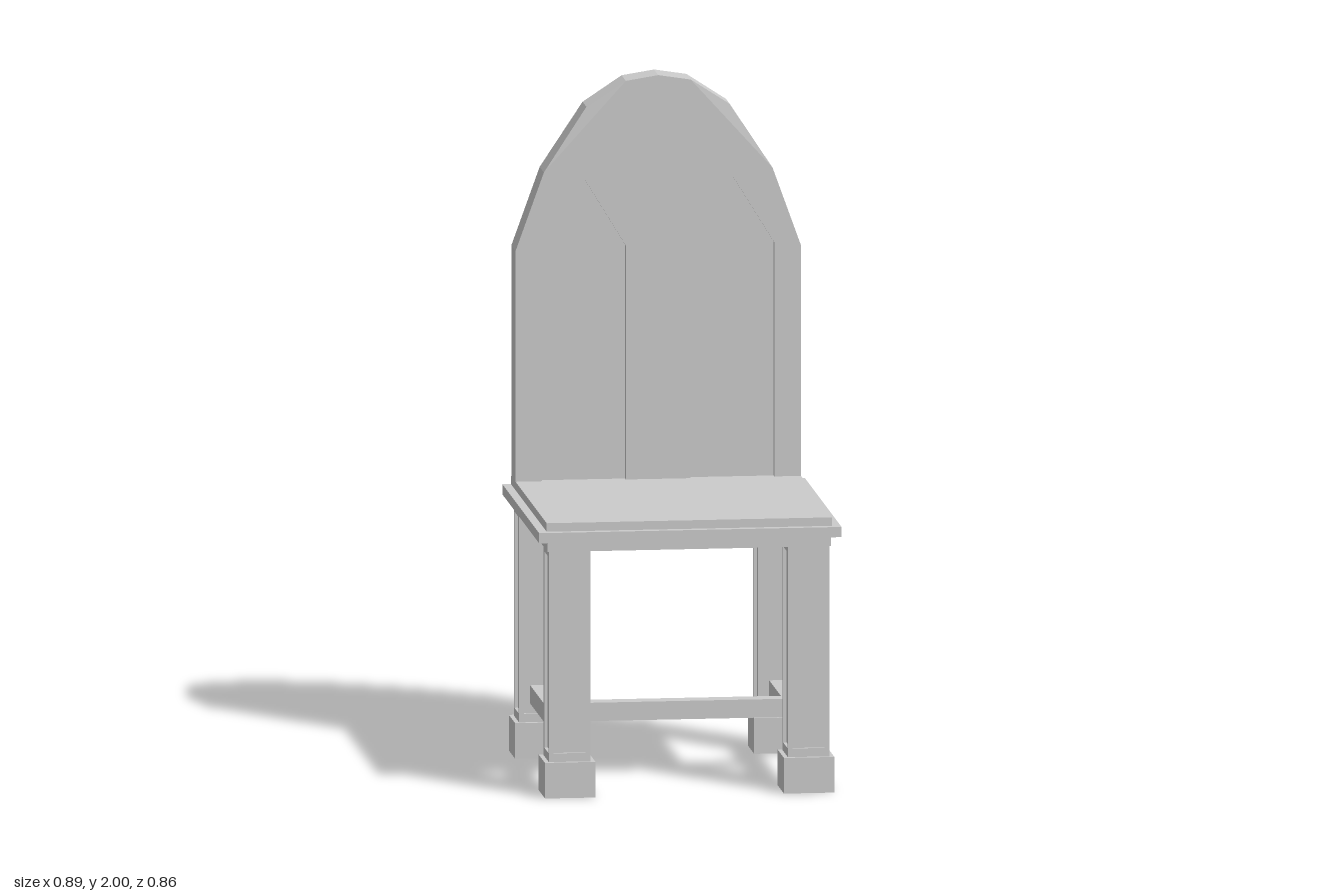
import * as THREE from 'three';

const material = new THREE.MeshStandardMaterial({ color: 0xcccccc });

function addMesh(parent, name, geometry, x = 0, y = 0, z = 0) {
  const mesh = new THREE.Mesh(geometry, material);
  mesh.name = name;
  mesh.position.set(x, y, z);
  parent.add(mesh);
  return mesh;
}

// Box given by its low and high corners
function addBox(parent, name, [x0, y0, z0], [x1, y1, z1]) {
  const geometry = new THREE.BoxGeometry(x1 - x0, y1 - y0, z1 - z0);
  return addMesh(parent, name, geometry, (x0 + x1) / 2, (y0 + y1) / 2, (z0 + z1) / 2);
}

const toShape = (points) => new THREE.Shape(points.map(([x, y]) => new THREE.Vector2(x, y)));
const extrude = (shape, depth) => new THREE.ExtrudeGeometry(shape, { depth, bevelEnabled: false });

const SEAT_TOP = 0.81;
const ARCH = [[0.418, 1.49], [0.335, 1.72], [0.21, 1.91], [0.095, 1.985], [0, 2],
  [-0.095, 1.985], [-0.21, 1.91], [-0.335, 1.72], [-0.418, 1.49]];

// Arched backrest: solid core with a pierced facing on both sides
function createBackrest() {
  const group = new THREE.Group();
  group.name = 'backrest';
  const recess = 0.018, front = -0.321, back = -0.421;
  const base = [[-0.418, SEAT_TOP], [0.418, SEAT_TOP]];
  addMesh(group, 'backrestCore', extrude(toShape([...base, ...ARCH]), front - back - 2 * recess), 0, 0, back + recess);

  // Pointed panels are notches open towards the seat
  const notch = (s) => [[-0.34, SEAT_TOP], [-0.34, 1.5], [-0.217, 1.7], [-0.095, 1.5], [-0.095, SEAT_TOP]]
    .map(([x, y]) => [s * x, y]);
  const facing = toShape([base[0], ...notch(1), ...notch(-1).reverse(), base[1], ...ARCH]);
  for (const side of [1, -1]) {
    const geometry = extrude(facing, recess);
    // The shoulder corners of the arch are slightly sunk
    const p = geometry.attributes.position;
    const outer = side > 0 ? recess : 0;
    for (let i = 0; i < p.count; i++) {
      const shoulder = Math.abs(Math.abs(p.getX(i)) - 0.21) < 0.001 && Math.abs(p.getY(i) - 1.91) < 0.001;
      if (shoulder && Math.abs(p.getZ(i) - outer) < 0.001) p.setZ(i, outer - side * 0.005);
    }
    geometry.computeVertexNormals();
    addMesh(group, side > 0 ? 'frontFacing' : 'rearFacing', geometry, 0, 0, side > 0 ? front - recess : back);
  }
  return group;
}

// Square leg with a sunken panel on each face, on a block foot
function createLeg() {
  const group = new THREE.Group();
  const half = 0.061, inset = 0.01, y0 = 0.105, y1 = 0.725;
  addBox(group, 'foot', [-0.074, 0, -0.074], [0.074, y0, 0.074]);
  const core = half - inset;
  addBox(group, 'legCore', [-core, y0, -core], [core, y1, core]);
  const frame = toShape([[-half, y0], [half, y0], [half, y1], [-half, y1]]);
  frame.holes.push(toShape([[-0.047, 0.13], [-0.047, 0.708], [0.047, 0.708], [0.047, 0.13]]));
  const geometry = extrude(frame, inset).translate(0, 0, core);
  // Mitre the frame ends so the four sides meet at the corners
  const p = geometry.attributes.position;
  for (let i = 0; i < p.count; i++) {
    if (p.getZ(i) < core + 0.001 && Math.abs(p.getX(i)) > core) p.setX(i, Math.sign(p.getX(i)) * core);
  }
  geometry.computeVertexNormals();
  for (let k = 0; k < 4; k++) addMesh(group, 'legFrame', geometry).rotation.y = k * Math.PI / 2;
  return group;
}

export function createModel() {
  const model = new THREE.Group();
  model.name = 'chair';

  // Seat: apron, projecting rim and top board
  addBox(model, 'seatApron', [-0.415, 0.725, -0.425], [0.415, 0.755, 0.41]);
  addBox(model, 'seatRim', [-0.443, 0.755, -0.43], [0.443, 0.785, 0.433]);
  addBox(model, 'seatTop', [-0.418, 0.785, -0.423], [0.418, SEAT_TOP, 0.41]);

  model.add(createBackrest());

  // Legs
  const legX = 0.35, frontZ = 0.344, backZ = -0.356;
  for (const [end, z] of [['front', frontZ], ['back', backZ]]) {
    for (const [side, x] of [['Left', legX], ['Right', -legX]]) {
      const leg = createLeg();
      leg.name = `${end}${side}Leg`;
      leg.position.set(x, 0, z);
      model.add(leg);
    }
  }

  // H-shaped stretcher
  const r = 0.027, mid = (frontZ + backZ) / 2;
  for (const [side, x] of [['left', legX], ['right', -legX]]) {
    addBox(model, `${side}Stretcher`, [x - r, 0.158, backZ], [x + r, 0.212, frontZ]);
  }
  addBox(model, 'crossStretcher', [-legX + r, 0.158, mid - r], [legX - r, 0.212, mid + r]);

  return model;
}
